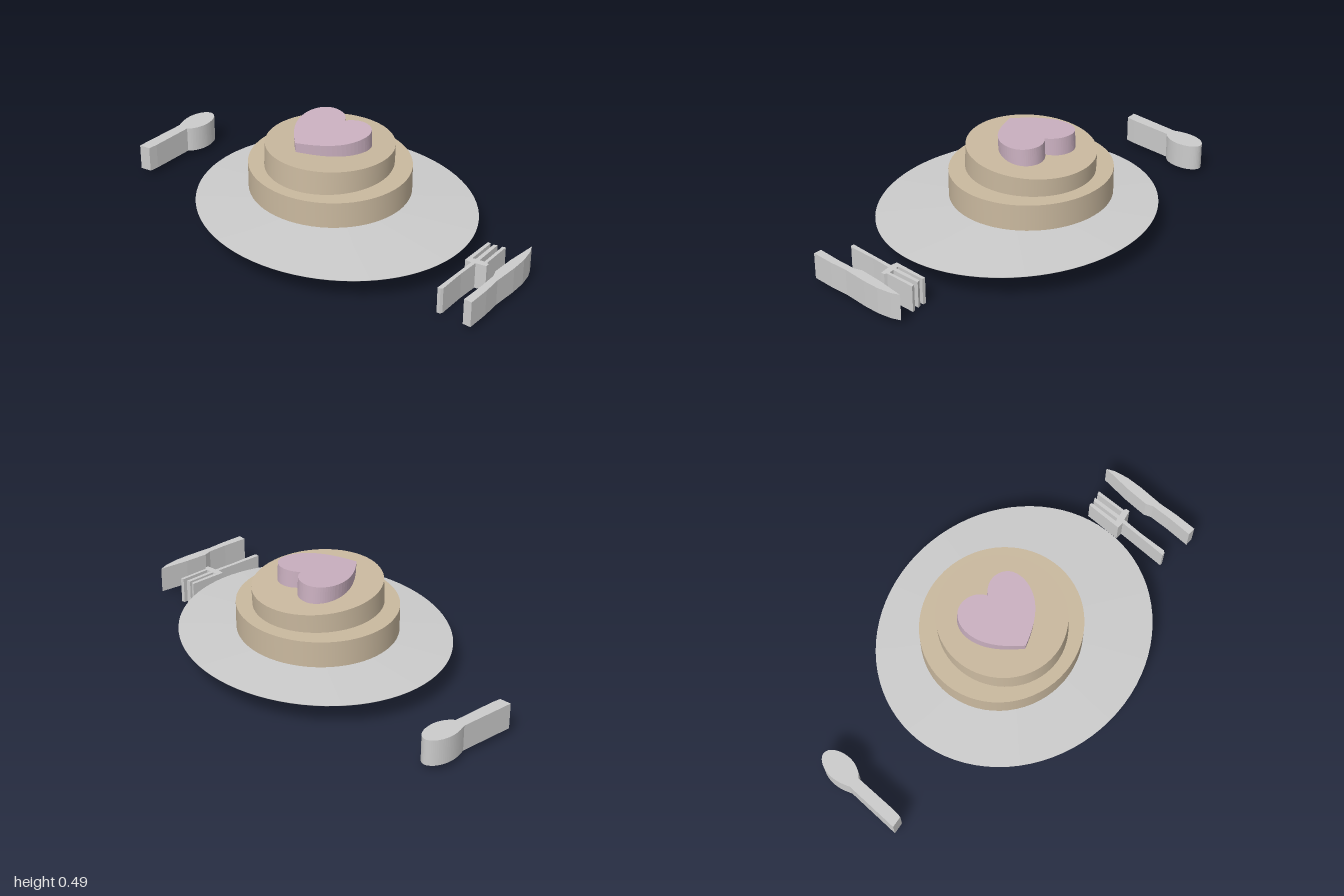
import * as THREE from 'three';

const metal = new THREE.MeshStandardMaterial({ color: 0xcccccc, side: THREE.DoubleSide });
const sponge = new THREE.MeshStandardMaterial({ color: 0xcab99f });
const icing = new THREE.MeshStandardMaterial({ color: 0xcab0c0 });

// Extrude a plan outline (drawn as x, -z) upward from y = 0
function slab(name, shape, height, material) {
  const geo = new THREE.ExtrudeGeometry(shape, { depth: height, bevelEnabled: false, curveSegments: 14 });
  geo.rotateX(-Math.PI / 2);
  const mesh = new THREE.Mesh(geo, material);
  mesh.name = name;
  return mesh;
}

// Plan outline from [x, z] corners
const outline = (pts) => new THREE.Shape(pts.map(([x, z]) => new THREE.Vector2(x, -z)));

// Round cake tier, slightly oval, optionally tilted
function tier(name, rx, rz, height, y, z, tilt = 0) {
  const mesh = new THREE.Mesh(new THREE.CylinderGeometry(1, 1, height, 64), sponge);
  mesh.name = name;
  mesh.scale.set(rx, 1, rz);
  mesh.position.set(-0.005, y, z);
  mesh.rotation.x = tilt;
  return mesh;
}

export function createModel() {
  const model = new THREE.Group();
  model.name = 'cakeAndCutlery';

  // Plate: shallow cone with a flat underside
  const plate = new THREE.Mesh(new THREE.LatheGeometry([
    new THREE.Vector2(0, 0.125), new THREE.Vector2(0.665, 0.127),
    new THREE.Vector2(0.665, 0.129), new THREE.Vector2(0, 0.16),
  ], 80), metal);
  plate.name = 'plate';
  plate.scale.z = 0.895;
  plate.position.set(0.052, 0, -0.003);
  model.add(plate);

  // Thin foot under the plate
  const foot = new THREE.Mesh(new THREE.CylinderGeometry(0.2, 0.275, 0.012, 64), metal);
  foot.name = 'plateFoot';
  foot.scale.z = 0.9;
  foot.position.set(0.01, 0.121, 0);
  model.add(foot);

  // Cake: a wide level tier around a taller, tilted one
  model.add(tier('wideTier', 0.375, 0.36, 0.123, 0.251, -0.028));
  model.add(tier('tallTier', 0.286, 0.298, 0.245, 0.288, -0.022, -0.052));

  // Heart topper, tilted the other way
  const heart = new THREE.Shape();
  heart.moveTo(-0.045, -0.157);
  heart.bezierCurveTo(-0.1, -0.11, -0.185, -0.03, -0.185, 0.07);
  heart.bezierCurveTo(-0.185, 0.13, -0.15, 0.175, -0.095, 0.176);
  heart.bezierCurveTo(-0.05, 0.176, -0.02, 0.155, 0, 0.12);
  heart.bezierCurveTo(0.025, 0.15, 0.055, 0.165, 0.09, 0.162);
  heart.bezierCurveTo(0.14, 0.155, 0.17, 0.12, 0.168, 0.06);
  heart.bezierCurveTo(0.16, -0.03, 0.1, -0.1, -0.045, -0.157);
  const topper = slab('heartTopper', heart, 0.085, icing);
  topper.position.set(0, 0.39, -0.004);
  topper.rotation.x = 0.058;
  model.add(topper);

  // Spoon: oval bowl running into a straight handle
  const spoon = new THREE.Shape();
  spoon.moveTo(-0.965, -0.255);
  spoon.lineTo(-0.912, -0.245);
  spoon.lineTo(-0.91, -0.2);
  spoon.lineTo(-0.92, 0.01);
  spoon.bezierCurveTo(-0.89, 0.035, -0.88, 0.08, -0.883, 0.11);
  spoon.bezierCurveTo(-0.888, 0.165, -0.915, 0.203, -0.945, 0.203);
  spoon.bezierCurveTo(-0.975, 0.203, -1.0, 0.16, -1.0, 0.11);
  spoon.bezierCurveTo(-1.0, 0.07, -0.985, 0.035, -0.973, 0.01);
  const spoonMesh = slab('spoon', spoon, 0.123, metal);
  spoonMesh.position.y = 0.027;
  model.add(spoonMesh);

  // Fork: three tines, a cross bar and a handle
  model.add(slab('fork', outline([
    [0.808, 0.217], [0.803, 0.1], [0.797, -0.025], [0.765, -0.025],
    [0.755, -0.2], [0.77, -0.2], [0.782, -0.055], [0.796, -0.06],
    [0.785, -0.2], [0.801, -0.208], [0.814, -0.063], [0.836, -0.068],
    [0.823, -0.212], [0.838, -0.217], [0.85, -0.068], [0.862, -0.062],
    [0.864, -0.045], [0.815, -0.032], [0.818, 0.07], [0.83, 0.205], [0.823, 0.216],
  ]), 0.125, metal));

  // Knife: pointed blade stepping into the handle
  const knife = slab('knife', outline([
    [0.962, 0.24], [0.958, 0.12], [0.95, 0.025], [0.935, -0.01],
    [0.932, -0.12], [0.938, -0.265], [0.958, -0.225], [0.974, -0.16],
    [0.981, -0.08], [0.983, 0.04], [0.994, 0.13], [1.0, 0.238],
  ]), 0.123, metal);
  knife.position.y = 0.027;
  model.add(knife);

  return model;
}
